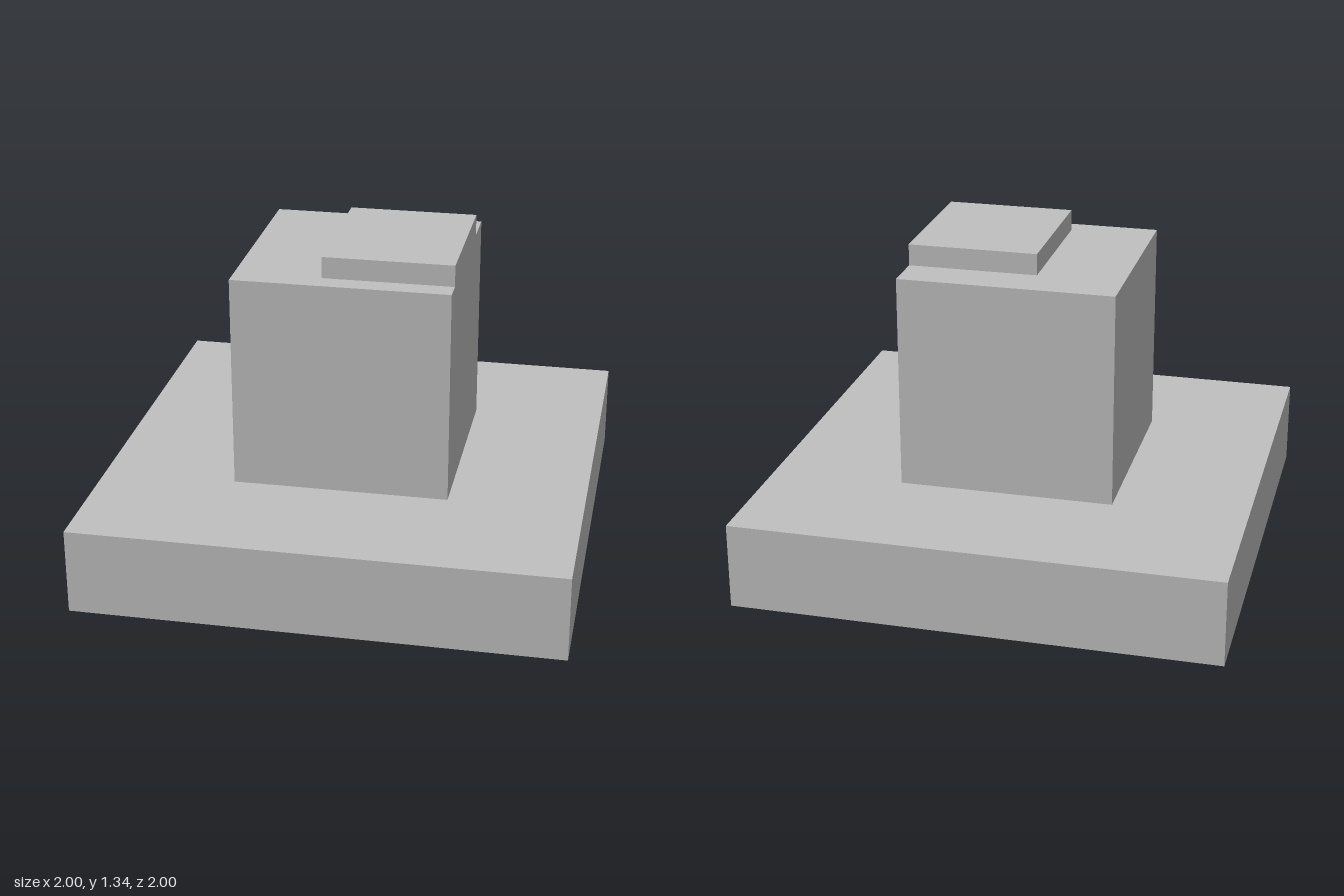
import * as THREE from 'three';

export function createModel() {
  const model = new THREE.Group();
  model.name = 'steppedPedestal';
  const grey = new THREE.MeshStandardMaterial({ color: 0xc0c0c0 });
  grey.name = 'light grey';

  // Box given by its minimum and maximum corners
  const block = (name, [x0, y0, z0], [x1, y1, z1]) => {
    const mesh = new THREE.Mesh(new THREE.BoxGeometry(x1 - x0, y1 - y0, z1 - z0), grey);
    mesh.position.set((x0 + x1) / 2, (y0 + y1) / 2, (z0 + z1) / 2);
    mesh.name = name;
    model.add(mesh);
  };

  // Wide square plinth
  block('base', [-1, 0, -1], [1, 0.357, 1]);
  // Central cube
  block('column', [-0.446, 0.357, -0.446], [0.446, 1.25, 0.446]);
  // Off-centre top slab, flush with the left side of the column
  block('topSlab', [-0.089, 1.25, -0.268], [0.446, 1.339, 0.357]);

  return model;
}
